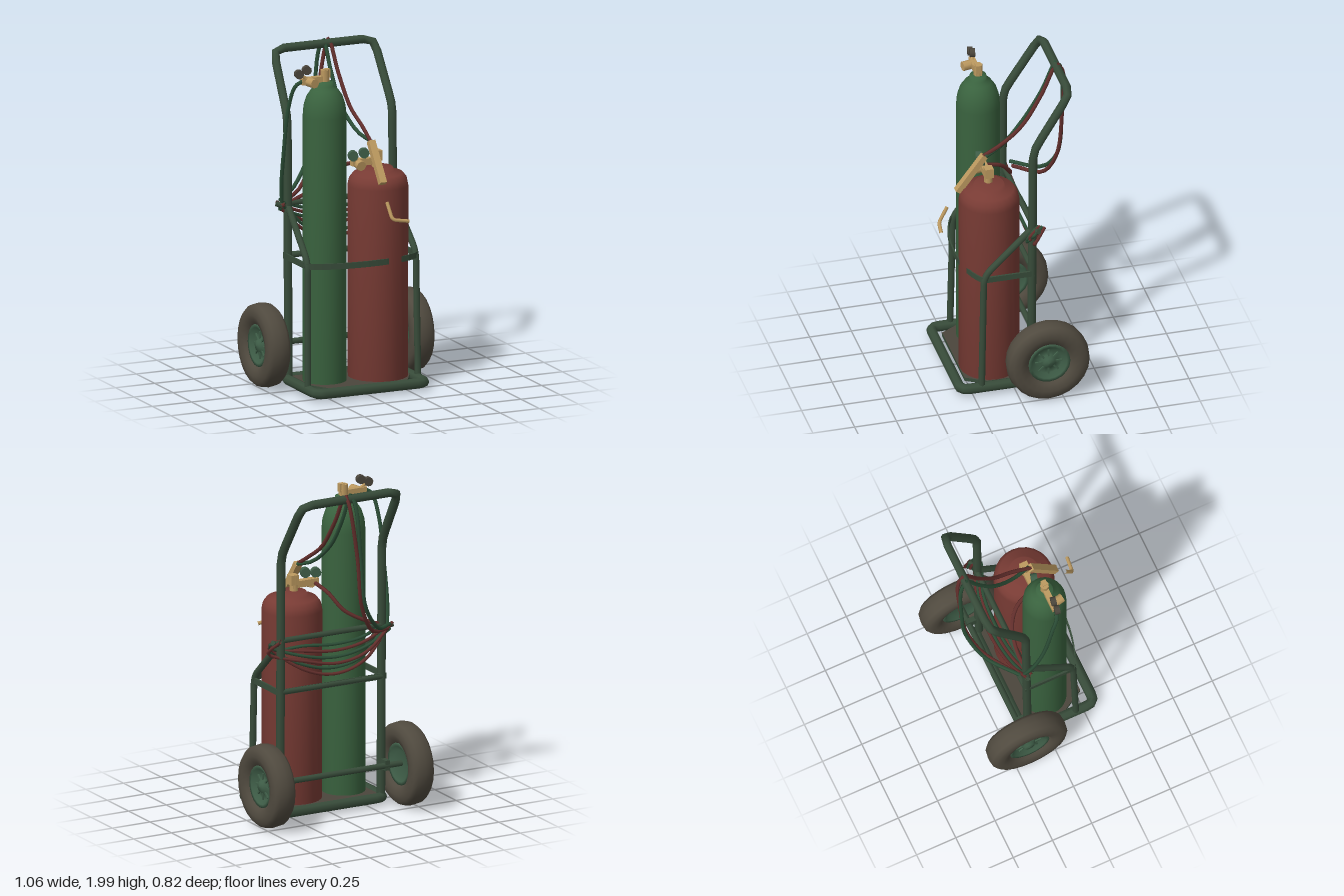
import * as THREE from 'three';

const mat = (name, color, side = THREE.FrontSide) => {
  const m = new THREE.MeshStandardMaterial({ color, side });
  m.name = name;
  return m;
};
const V = (a) => new THREE.Vector3(...a);

// Polyline with its corners rounded off by bezier arcs
function roundedPath(pts, r, closed = false) {
  const p = pts.map(V), n = p.length, path = new THREE.CurvePath();
  const toward = (a, b) => a.clone().addScaledVector(b.clone().sub(a).normalize(), r);
  let last = closed ? toward(p[0], p[1]) : p[0];
  for (let i = 1; i < (closed ? n + 1 : n - 1); i++) {
    const c = p[i % n], a = toward(c, p[i - 1]), b = toward(c, p[(i + 1) % n]);
    path.add(new THREE.LineCurve3(last, a));
    path.add(new THREE.QuadraticBezierCurve3(a, c, b));
    last = b;
  }
  if (!closed) path.add(new THREE.LineCurve3(last, p[n - 1]));
  return path;
}

export function createModel() {
  const g = new THREE.Group();
  g.name = 'gasCylinderCart';
  const frame = mat('framePaint', 0x384c3a);
  const green = mat('greenCylinder', 0x3a633f);
  const red = mat('redCylinder', 0x783b34);
  const tyre = mat('tyreRubber', 0x504a3f);
  const hub = mat('hubPaint', 0x3f5e48);
  const brass = mat('brass', 0xbd9a60);
  const plate = mat('floorPlate', 0x4b463c);
  const hoseGreen = mat('greenHose', 0x2d5038, THREE.DoubleSide);
  const hoseRed = mat('redHose', 0x65302d, THREE.DoubleSide);

  const add = (name, geo, m, pos = [0, 0, 0], parent = g) => {
    const o = new THREE.Mesh(geo, m);
    o.name = name;
    o.position.set(...pos);
    parent.add(o);
    return o;
  };
  const pipe = (name, pts, rad, corner, closed = false, m = frame) =>
    add(name, new THREE.TubeGeometry(roundedPath(pts, corner, closed), 72, rad, 8, closed), m);
  // Straight capped bar between two points
  const bar = (name, a, b, rad, m = frame, sides = 8) => {
    const A = V(a), B = V(b), d = B.clone().sub(A);
    const o = add(name, new THREE.CylinderGeometry(rad, rad, d.length(), sides), m);
    o.position.copy(A).add(B).multiplyScalar(0.5);
    o.quaternion.setFromUnitVectors(new THREE.Vector3(0, 1, 0), d.normalize());
    return o;
  };
  const lathe = (pts, seg) => new THREE.LatheGeometry(pts.map((p) => new THREE.Vector2(...p)), seg);

  // Base rails and floor plate with cut front corners
  pipe('baseFrame', [[-0.348, 0.048, -0.12], [-0.348, 0.048, 0.322], [0.348, 0.048, 0.322], [0.348, 0.048, -0.12]], 0.031, 0.05, true);
  const floor = new THREE.Shape([[-0.34, 0.12], [0.34, 0.12], [0.34, -0.12], [0.25, -0.275], [-0.25, -0.275], [-0.34, -0.12]]
    .map((p) => new THREE.Vector2(...p)));
  const floorGeo = new THREE.ExtrudeGeometry(floor, { depth: 0.02, bevelEnabled: false });
  floorGeo.rotateX(-Math.PI / 2);
  add('floorPlate', floorGeo, [plate, frame], [0, 0.045, 0]);
  add('floorUnderside', new THREE.ShapeGeometry(floor).rotateX(Math.PI / 2).scale(1, 1, -1).rotateY(0), mat('undersidePaint', 0x2c382d, THREE.DoubleSide), [0, 0.043, 0]);

  // Push handle bent backwards at the top
  pipe('handle', [[-0.335, 0.04, -0.1], [-0.335, 1.6, -0.112], [-0.32, 1.955, -0.335],
    [0.32, 1.955, -0.335], [0.335, 1.6, -0.112], [0.335, 0.04, -0.1]], 0.026, 0.06);

  // Front posts leaning back to the handle
  for (const s of [-1, 1]) {
    pipe('sidePost', [[s * 0.352, 0.05, 0.2], [s * 0.345, 0.8, 0.185], [s * 0.335, 1.07, -0.1]], 0.02, 0.06);
    add('axleBracket', new THREE.BoxGeometry(0.03, 0.06, 0.09), frame, [s * 0.335, 0.255, -0.135]);
    bar('hoseHook', [s * 0.33, 1.06, -0.1], [s * 0.4, 1.09, -0.13], 0.016);
  }

  // Rear cross bars and axle
  for (const y of [0.78, 1.09]) bar('rearCrossBar', [-0.335, y, -0.115], [0.335, y, -0.115], 0.017);
  bar('axle', [-0.5, 0.252, -0.165], [0.5, 0.252, -0.165], 0.018);

  // Retaining band around both cylinders
  const band = new THREE.Shape();
  const outline = (sh, o) => {
    sh.moveTo(-0.35 - o, 0.115);
    sh.lineTo(-0.35 - o, -0.19);
    sh.bezierCurveTo(-0.2, -0.292 - o, 0.2, -0.315 - o, 0.35 + o, -0.19);
    sh.lineTo(0.35 + o, 0.115);
  };
  outline(band, 0.008);
  const inner = new THREE.Path();
  outline(inner, -0.004);
  inner.closePath();
  band.lineTo(-0.358, 0.125);
  band.holes.push(inner);
  const bandGeo = new THREE.ExtrudeGeometry(band, { depth: 0.035, bevelEnabled: false, curveSegments: 14 });
  add('retainingBand', bandGeo.rotateX(-Math.PI / 2), frame, [0, 0.762, 0]);

  // Wheels: tyre, dished hub and axle cap
  for (const s of [-1, 1]) {
    const wheel = new THREE.Group();
    wheel.name = 'wheel';
    wheel.position.set(s * 0.46, 0.248, -0.165);
    wheel.rotation.z = -s * Math.PI / 2;
    g.add(wheel);
    add('tyre', lathe([[0.12, -0.035], [0.14, -0.06], [0.18, -0.072], [0.22, -0.066], [0.24, -0.045], [0.247, 0],
      [0.24, 0.045], [0.22, 0.066], [0.18, 0.072], [0.14, 0.06], [0.12, 0.035]], 24), tyre, [0, 0, 0], wheel);
    add('hub', lathe([[0, -0.025], [0.08, -0.025], [0.105, -0.045], [0.125, -0.045], [0.125, 0.045],
      [0.105, 0.045], [0.08, 0.02], [0.045, 0.022], [0.03, 0.045], [0, 0.05]], 20), hub, [0, 0, 0], wheel);
    for (let i = 0; i < 4; i++) {
      const rib = add('hubRib', new THREE.BoxGeometry(0.16, 0.012, 0.01), hub, [0, 0.024, 0], wheel);
      rib.rotation.y = i * Math.PI / 4;
    }
  }

  // Gas cylinders
  add('greenCylinder', lathe([[0, 0.062], [0.127, 0.066], [0.127, 1.64], [0.122, 1.7], [0.105, 1.755], [0.078, 1.795],
    [0.052, 1.815], [0.048, 1.84], [0, 1.845]], 24), green, [-0.187, 0, 0.077]);
  add('redCylinder', lathe([[0, 0.062], [0.175, 0.066], [0.176, 1.2], [0.168, 1.24], [0.145, 1.27], [0.095, 1.285],
    [0.085, 1.305], [0, 1.31]], 24), red, [0.143, 0, 0.1]);

  // Valve and regulator on the green cylinder
  bar('greenValveStem', [-0.187, 1.83, 0.077], [-0.187, 1.91, 0.077], 0.026, brass);
  add('greenValveKnob', new THREE.BoxGeometry(0.035, 0.05, 0.03), brass, [-0.175, 1.89, 0.08]);
  add('greenValveBody', new THREE.BoxGeometry(0.17, 0.04, 0.035), brass, [-0.25, 1.855, 0.077]);
  bar('greenRegulator', [-0.295, 1.85, 0.07], [-0.28, 1.85, 0.145], 0.028, brass);
  for (const [x, y] of [[-0.35, 1.9], [-0.3, 1.92]])
    bar('greenGauge', [x, y, 0.065], [x - 0.005, y, 0.095], 0.027, plate, 10);
  bar('gaugeStem', [-0.35, 1.9, 0.08], [-0.29, 1.86, 0.08], 0.01, brass);

  // Valve, gauges and torch on the red cylinder
  bar('redValveStem', [0.13, 1.29, 0.1], [0.13, 1.4, 0.1], 0.026, brass);
  add('redValveBody', new THREE.BoxGeometry(0.17, 0.04, 0.04), brass, [0.06, 1.345, 0.1]);
  add('redValveKnob', new THREE.BoxGeometry(0.05, 0.06, 0.05), brass, [0.135, 1.375, 0.1]);
  for (const [x, y] of [[-0.02, 1.39], [0.05, 1.4]])
    bar('redGauge', [x, y, 0.1], [x - 0.01, y, 0.135], 0.03, hub, 10);
  bar('redRegulator', [0.015, 1.34, 0.09], [0.015, 1.33, 0.15], 0.03, brass);
  const torch = add('torchHandle', new THREE.BoxGeometry(0.042, 0.27, 0.035), brass, [0.092, 1.355, 0.195]);
  torch.rotation.x = -0.64;
  pipe('torchTip', [[0.09, 1.15, 0.335], [0.1, 1.055, 0.388], [0.2, 1.04, 0.4]], 0.011, 0.025, false, brass);

  // Hoses: flat ribbons following smooth curves
  const hose = (name, pts, m, rad = 0.012) =>
    add(name, new THREE.TubeGeometry(new THREE.CatmullRomCurve3(pts.map(V)), 36, rad, 5), m);
  hose('redHoseFromTorch', [[0.09, 1.46, 0.12], [0.09, 1.53, 0], [0.07, 1.62, -0.12], [0.05, 1.8, -0.24],
    [0.035, 1.98, -0.335], [0.03, 1.93, -0.37], [-0.02, 1.6, -0.38], [-0.06, 1.3, -0.36], [-0.16, 1.13, -0.3], [-0.34, 1.08, -0.17]], hoseRed);
  hose('greenHoseFromTorch', [[0.1, 1.46, 0.11], [0.06, 1.5, 0], [0.02, 1.63, -0.14], [0.01, 1.8, -0.25],
    [0, 1.98, -0.34], [-0.015, 1.9, -0.375], [-0.04, 1.6, -0.385], [-0.08, 1.3, -0.37], [-0.2, 1.14, -0.3], [-0.36, 1.1, -0.16]], hoseGreen);
  hose('greenHoseFromValve', [[-0.32, 1.86, 0.08], [-0.37, 1.83, 0.07], [-0.395, 1.7, 0.03], [-0.4, 1.4, -0.03],
    [-0.385, 1.2, -0.09], [-0.36, 1.08, -0.13]], hoseGreen);
  hose('redHoseFromValve', [[0.0, 1.34, 0.08], [-0.03, 1.3, -0.02], [-0.1, 1.2, -0.09], [-0.25, 1.12, -0.12], [-0.38, 1.08, -0.1]], hoseRed);

  // Hose coils slung between the two hooks
  for (let i = 0; i < 6; i++) {
    const sag = 0.02 + 0.035 * i, w = 0.365 + 0.01 * (i % 4), z = -0.135 - 0.012 * (i % 4);
    hose('hoseCoil', [[-w, 1.1 - 0.02 * (i % 3), z + 0.04], [-0.2, 1.06 - sag * 0.8, z], [0, 1.05 - sag, z - 0.015],
      [0.2, 1.06 - sag * 0.8, z], [w + 0.02, 1.02 + 0.02 * (i % 3), z + 0.07], [w - 0.02, 1.1, z]], i % 2 ? hoseRed : hoseGreen, 0.01);
  }
  return g;
}
